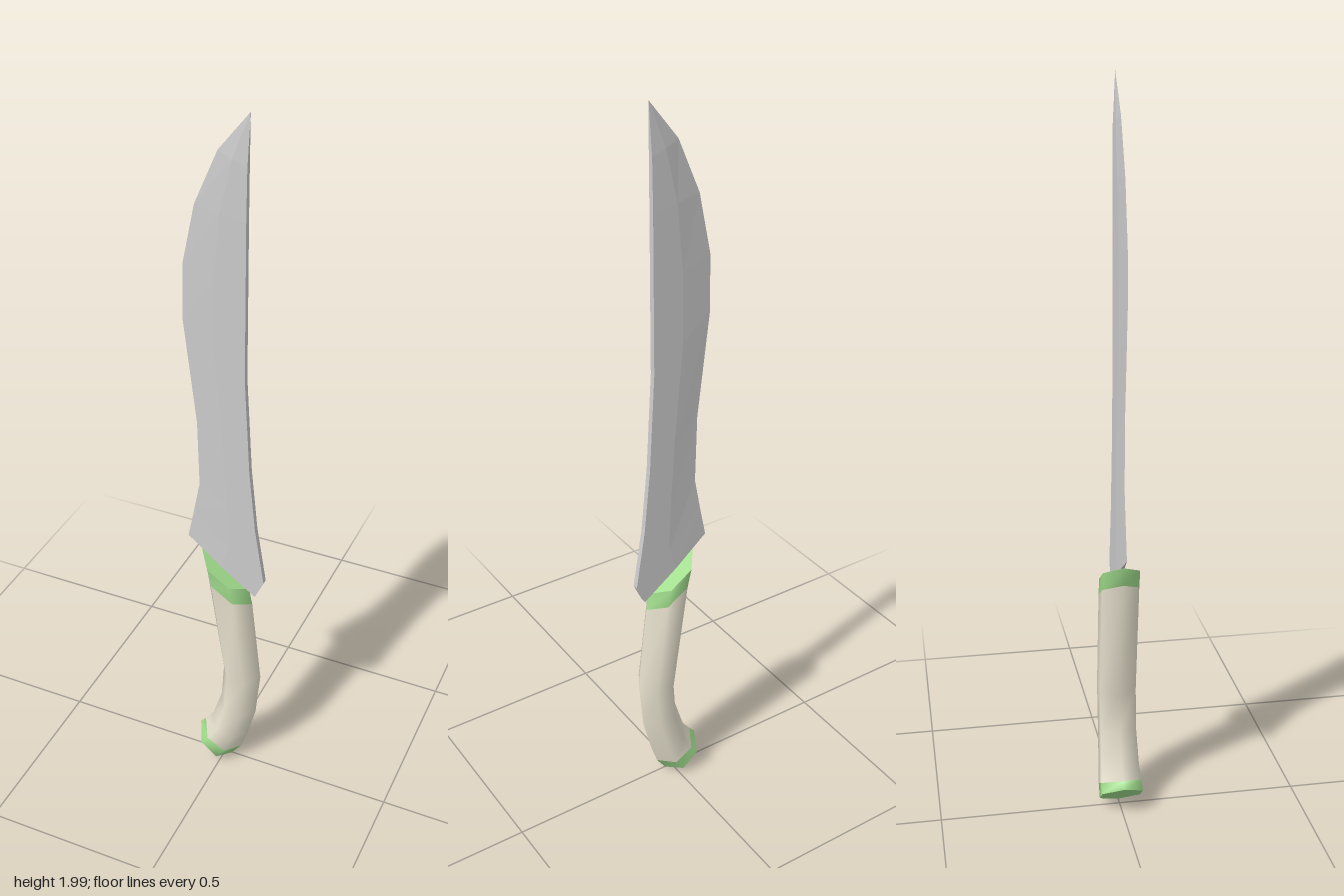
import * as THREE from 'three';

// Skin a stack of rings (bottom to top, counter-clockwise seen from above) with optional end caps.
function loft(rings, capStart, capEnd) {
  const n = rings[0].length, pos = rings.flat(2), idx = [];
  for (let r = 0; r < rings.length - 1; r++) {
    for (let i = 0; i < n; i++) {
      const a = r * n + i, b = r * n + (i + 1) % n;
      idx.push(a, b, b + n, a, b + n, a + n);
    }
  }
  const cap = (ring, flip) => {
    const base = pos.length / 3;
    pos.push(...ring.flat());
    for (let i = 1; i < n - 1; i++) idx.push(base, base + (flip ? i + 1 : i), base + (flip ? i : i + 1));
  };
  if (capStart) cap(rings[0], true);
  if (capEnd) cap(rings[rings.length - 1], false);
  const geo = new THREE.BufferGeometry();
  geo.setAttribute('position', new THREE.Float32BufferAttribute(pos, 3));
  geo.setIndex(idx);
  geo.computeVertexNormals();
  return geo;
}

const along = ([lx, ly, rx, ry], t, z) => [lx + (rx - lx) * t, ly + (ry - ly) * t, z];

// Six-sided grip section between a left and a right outline point
const gripRing = (s) => {
  const d = s[4];
  return [along(s, 0, 0), along(s, 0.27, d), along(s, 0.73, d),
    along(s, 1, 0), along(s, 0.73, -d), along(s, 0.27, -d)];
};

// Blade section: sharp edge, bevel line, flat spine
const bladeRing = (s) => {
  const d = s[4];
  return [along(s, 0, 0), along(s, 0.5, d), along(s, 1, d), along(s, 1, -d), along(s, 0.5, -d)];
};

export function createModel() {
  const group = new THREE.Group();
  const add = (name, geometry, color, flatShading = false) => {
    const mesh = new THREE.Mesh(geometry, new THREE.MeshStandardMaterial({ color, flatShading }));
    mesh.name = name;
    group.add(mesh);
  };

  // Handle sections: left x, left y, right x, right y, half depth
  const handle = [
    [-0.08, 0.10, 0.022, 0.01, 0.057],
    [-0.064, 0.118, 0.05, 0.05, 0.056],
    [-0.04, 0.15, 0.07, 0.11, 0.053],
    [-0.012, 0.24, 0.095, 0.21, 0.05],
    [-0.005, 0.35, 0.108, 0.35, 0.05],
    [-0.057, 0.70, 0.08, 0.61, 0.05],
    [-0.07, 0.755, 0.07, 0.66, 0.05],
  ].map(gripRing);
  const green = 0xa0dc8c;
  add('pommel', loft(handle.slice(0, 2), true, false), green);
  add('grip', loft(handle.slice(1, 6), false, false), 0xe8e2cf);
  add('collar', loft(handle.slice(5), false, true), green);

  // Blade sections: edge x, edge y, spine x, spine y, half thickness
  const blade = [
    [-0.11, 0.79, 0.09, 0.645, 0.008],
    [-0.092, 0.88, 0.115, 0.70, 0.008],
    [-0.075, 0.97, 0.088, 0.87, 0.008],
    [-0.08, 1.16, 0.07, 1.05, 0.008],
    [-0.115, 1.45, 0.055, 1.32, 0.008],
    [-0.113, 1.60, 0.055, 1.55, 0.008],
    [-0.08, 1.76, 0.055, 1.74, 0.008],
    [-0.02, 1.90, 0.056, 1.87, 0.007],
    [0.06, 2.00, 0.06, 2.00, 0],
  ].map(bladeRing);
  add('blade', loft(blade, true, false), 0xcccccc, true);

  return group;
}
